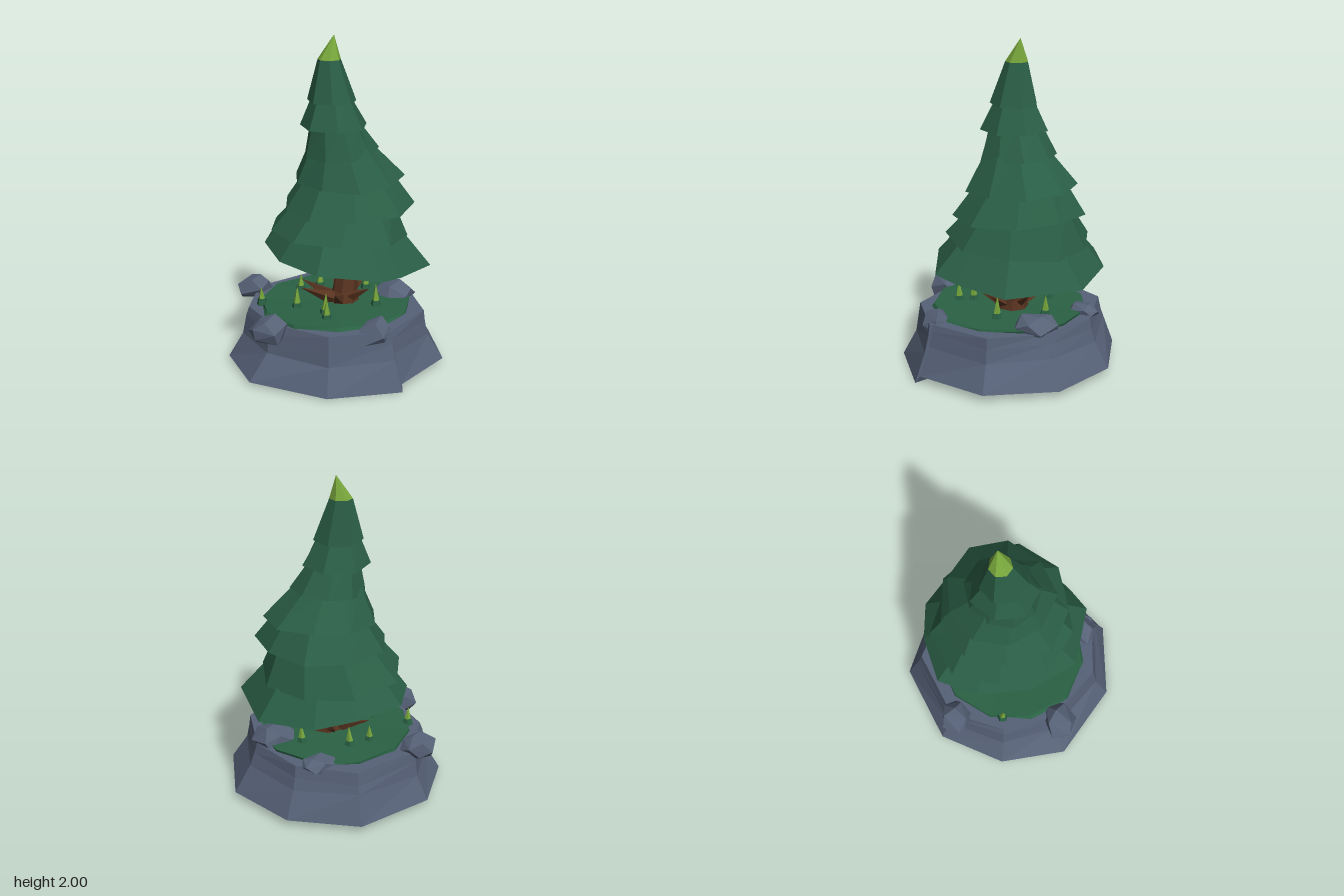
import * as THREE from 'three';
import { ConvexGeometry } from 'three/addons/geometries/ConvexGeometry.js';

const mat = (name, color) => {
  const m = new THREE.MeshStandardMaterial({ color });
  m.name = name;
  return m;
};

// Small seeded random, returns -1..1
let seed = 7;
const rnd = () => {
  seed = (seed * 16807) % 2147483647;
  return (seed / 2147483647) * 2 - 1;
};

// Ring of points, anticlockwise from above; jit varies the radius, tilt slopes it
function ring(cx, y, cz, r, n, { jit = 0, turn = 0, tx = 0, tz = 0, step = 0 } = {}) {
  return Array.from({ length: n }, (_, i) => {
    const a = turn + (i / n) * Math.PI * 2;
    const k = r * (1 + jit * rnd() + step * (i / (n - 1) - 0.5));
    const dx = k * Math.sin(a), dz = k * Math.cos(a);
    return new THREE.Vector3(cx + dx, y + tx * dx + tz * dz + jit * 0.15 * rnd(), cz + dz);
  });
}

// Flat-faced solid through rings listed from the underside to the top
function loft(rings) {
  const p = [];
  const tri = (...v) => v.forEach((q) => p.push(q.x, q.y, q.z));
  const mid = (r) => r.reduce((s, q) => s.add(q), new THREE.Vector3()).divideScalar(r.length);
  const n = rings[0].length, last = rings[rings.length - 1];
  const low = mid(rings[0]), high = mid(last);
  for (let i = 0; i < n; i++) {
    const j = (i + 1) % n;
    tri(low, rings[0][j], rings[0][i]);
    for (let k = 0; k + 1 < rings.length; k++) {
      const a = rings[k], b = rings[k + 1];
      tri(a[i], a[j], b[j]);
      tri(a[i], b[j], b[i]);
    }
    tri(high, last[i], last[j]);
  }
  const g = new THREE.BufferGeometry();
  g.setAttribute('position', new THREE.Float32BufferAttribute(p, 3));
  g.computeVertexNormals();
  return g;
}

// Faceted boulder from jittered points on an ellipsoid
function boulder(x, y, z, rx, ry, rz) {
  const pts = [];
  for (let i = 0; i < 14; i++) {
    const h = 1 - (2 * (i + 0.5)) / 14, s = Math.sqrt(1 - h * h), a = i * 2.4 + rnd() * 0.3;
    const k = 1.04 + rnd() * 0.08;
    pts.push(new THREE.Vector3(x + rx * k * s * Math.cos(a), y + ry * k * h, z + rz * k * s * Math.sin(a)));
  }
  return new ConvexGeometry(pts);
}

export function createModel() {
  seed = 7;
  const rock = mat('slate rock', 0x566177);
  const leaf = mat('pine green', 0x2a5d45);
  const turf = mat('turf green', 0x2a6144);
  const bark = mat('brown bark', 0x593420);
  const lime = mat('lime green', 0x77a63b);

  const root = new THREE.Group();
  root.name = 'pineOnRock';
  const add = (name, geo, m, parent = root) => {
    const mesh = new THREE.Mesh(geo, m);
    mesh.name = name;
    parent.add(mesh);
    return mesh;
  };
  const group = (name) => {
    const g = new THREE.Group();
    g.name = name;
    root.add(g);
    return g;
  };

  // Rock base flaring to the ground: x, z, foot height, top scale; the ends meet in a step at the front
  const outline = [[0.025, 0.635, 0.04, 0.84], [0.46, 0.48, 0.04, 0.82], [0.67, 0.08, 0.04, 0.78],
    [0.57, -0.36, 0.04, 0.82], [0.24, -0.66, 0.04, 0.86], [-0.26, -0.63, 0.035, 0.86],
    [-0.57, -0.34, 0.025, 0.81], [-0.67, 0.06, 0.018, 0.75], [-0.41, 0.49, 0.005, 0.83], [0.01, 0.66, 0, 0.84]];
  const level = (t, h, jit) => outline.map(([x, z, y, top]) => {
    const k = 1 + (top - 1) * t + jit * rnd();
    return new THREE.Vector3(x * k, y + (0.345 - y) * h + jit * 2 * rnd(), z * k);
  });
  add('rockBase', loft([level(0, 0, 0), level(0.75, 0.5, 0.015), level(0.9, 0.8, 0.01), level(1.02, 1, 0)]), rock);

  // Turf on top of the rock
  add('turf', loft([
    ring(0.005, 0.33, -0.02, 0.475, 11, { jit: 0.03 }),
    ring(0.005, 0.362, -0.02, 0.47, 11, { jit: 0.03 }),
  ]), turf);

  // Boulders around the rim
  const boulders = group('boulders');
  [[-0.54, 0.325, 0.08, 0.12, 0.09, 0.11], [-0.27, 0.36, -0.52, 0.115, 0.08, 0.095],
    [0.4, 0.36, 0.06, 0.14, 0.075, 0.13], [-0.05, 0.315, 0.47, 0.105, 0.11, 0.085],
    [0.34, 0.35, -0.35, 0.11, 0.045, 0.09]]
    .forEach((b, i) => add('boulder' + (i + 1), boulder(...b), rock, boulders));

  // Leaning trunk
  add('trunk', loft([
    ring(0.06, 0.34, -0.01, 0.1, 7, { jit: 0.06 }),
    ring(0.075, 0.43, -0.01, 0.078, 7, { jit: 0.06 }),
    ring(0.11, 0.62, -0.015, 0.07, 7, { jit: 0.05 }),
    ring(0.11, 0.82, -0.03, 0.055, 7),
  ]), bark);

  // Pointed roots spreading out of the trunk foot
  const roots = group('roots');
  for (let i = 0; i < 6; i++) {
    const a = 0.45 + (i / 6) * Math.PI * 2;
    const from = new THREE.Vector3(0.04 + 0.03 * Math.sin(a), 0.37, -0.02 + 0.03 * Math.cos(a));
    const to = new THREE.Vector3(0.01 + 0.24 * Math.sin(a), 0.47 + 0.02 * rnd(), -0.03 + 0.24 * Math.cos(a));
    const dir = to.clone().sub(from);
    const geo = new THREE.ConeGeometry(0.048, dir.length(), 4).toNonIndexed();
    geo.computeVertexNormals();
    const m = add('root' + (i + 1), geo, bark, roots);
    m.position.copy(from).addScaledVector(dir, 0.5);
    m.quaternion.setFromUnitVectors(new THREE.Vector3(0, 1, 0), dir.normalize());
  }

  // Grass tufts: lime blade in a small dark clump
  const tufts = group('grassTufts');
  [[-0.38, -0.25], [-0.25, -0.06], [-0.21, 0.2], [-0.17, 0.12], [0.17, 0.18], [0.29, -0.09], [0.07, -0.28], [-0.06, -0.3]]
    .forEach(([x, z], i) => {
      const h = 0.105 + 0.02 * rnd(), tip = ring(x + 0.01 * rnd(), 0.37 + h, z + 0.01 * rnd(), 0.001, 5);
      add('blade' + (i + 1), loft([ring(x, 0.35, z, 0.031, 5), tip]), lime, tufts);
      add('clump' + (i + 1), loft([ring(x, 0.35, z, 0.036, 5), ring(x, 0.39, z, 0.026, 5)]), turf, tufts);
    });

  // Lowest, widest foliage skirt with an uneven hem
  const foliage = group('foliage');
  const hem = [[-0.02, 0.64, 0.49], [0.15, 0.62, 0.45], [0.47, 0.6, 0.33], [0.61, 0.605, -0.12], [0.42, 0.635, -0.43],
    [0.2, 0.67, -0.53], [-0.1, 0.7, -0.56], [-0.28, 0.7, -0.37], [-0.38, 0.685, -0.05], [-0.33, 0.675, 0.27]]
    .map((p) => new THREE.Vector3(...p));
  const shrink = (x, y, z, t) => hem.map((p) => p.clone().lerp(new THREE.Vector3(x, y, z), t));
  add('foliageTier1', loft([shrink(0.11, 0.9, -0.03, 0.4), hem, shrink(0.085, 1.25, -0.05, 0.36)]), leaf, foliage);

  // Upper skirts: centre x, z, hem y, hem radius, top y, top radius, slopes in x and z
  const tiers = [
    [0.07, -0.06, 0.8, 0.435, 1.03, 0.28, -0.07, 0.02],
    [0.105, -0.035, 0.97, 0.395, 1.19, 0.24, 0.04, 0],
    [0.115, -0.05, 1.135, 0.335, 1.36, 0.18, 0.05, -0.04],
    [0.06, -0.05, 1.3, 0.225, 1.5, 0.15, 0.08, -0.02],
    [0.02, -0.05, 1.46, 0.205, 1.66, 0.11, 0, 0],
    [0.01, -0.06, 1.61, 0.145, 1.86, 0.07, -0.05, 0.05],
  ];
  tiers.forEach(([cx, cz, y, r, ty, tr, tx, tz], i) => {
    const n = i < 4 ? 9 : 7, turn = (i + 1) * 0.8;
    const [nx, nz] = tiers[i + 1] || [0.006, -0.08];
    const edge = ring(cx, y, cz, r, n, { jit: 0.05, turn, tx, tz, step: 0.08 });
    const top = ring(nx, ty, nz, tr, n, { jit: i < 5 ? 0.05 : 0, turn });
    const under = ring(cx, y + r * 0.22, cz, r * 0.6, n, { turn });
    add('foliageTier' + (i + 2), loft([under, edge, top]), leaf, foliage);
  });

  // Bright growing tip
  add('treeTip', loft([
    ring(0.006, 1.86, -0.08, 0.07, 7, { turn: 4.8 }),
    ring(0.04, 2, -0.08, 0.001, 7, { turn: 4.8 }),
  ]), lime, foliage);

  return root;
}
